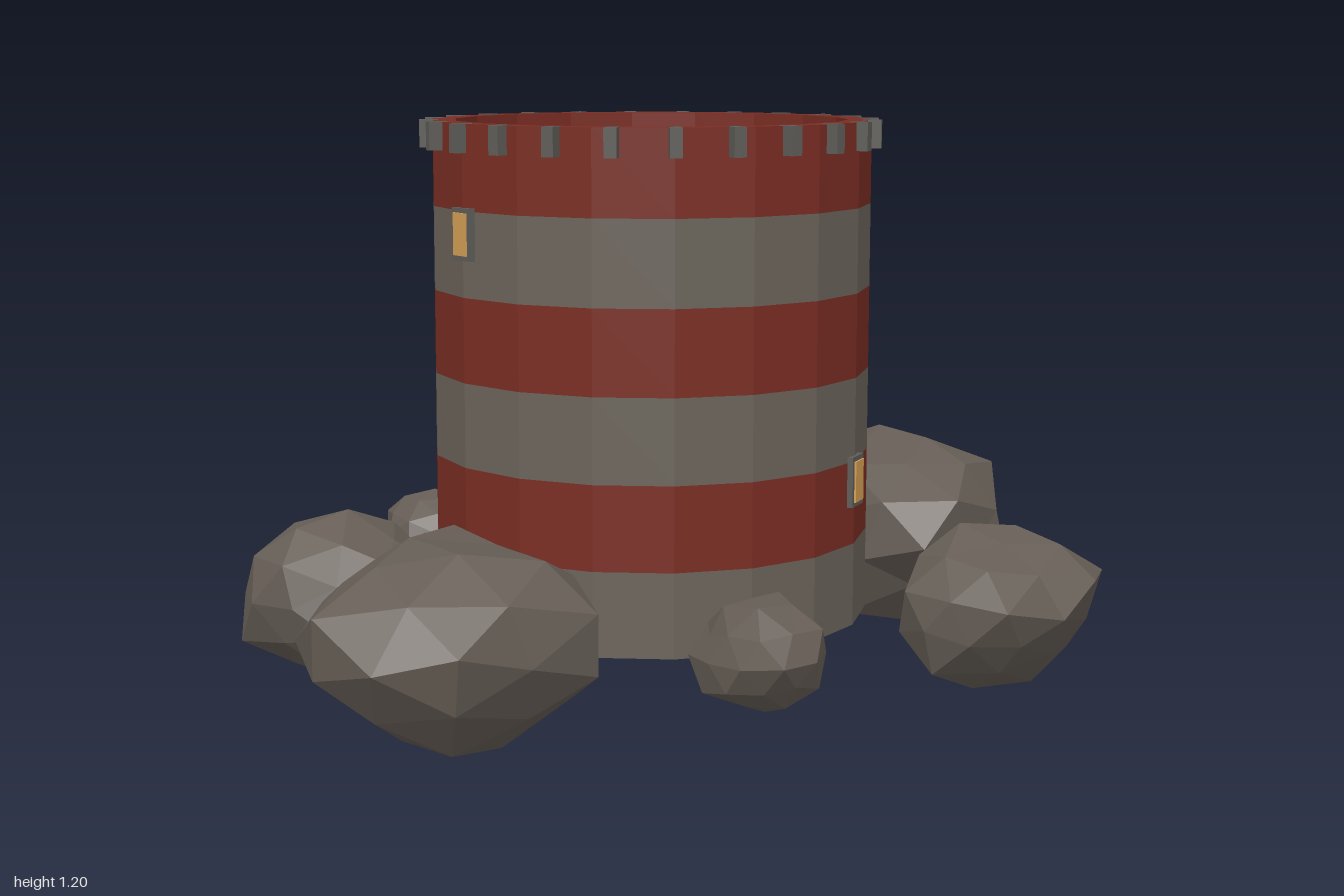
import * as THREE from 'three';
import { mergeVertices } from 'three/addons/utils/BufferGeometryUtils.js';

const mat = (name, color) => Object.assign(new THREE.MeshStandardMaterial({ color }), { name });

const CX = 0.02, CZ = -0.015;           // tower axis
const OUTER = 0.475, INNER = 0.425;     // wall radii
const BASE = 0.13, TOP = 1.2, BANDS = 6;
const STEP = Math.PI / 9;               // 18-sided tower

export function createModel() {
  const model = new THREE.Group();
  model.name = 'roundTower';
  const stone = mat('wallStone', 0x6b645b);
  const red = mat('redPaint', 0x7a2d23);
  const trim = mat('trimStone', 0x5e5d59);
  const rockMat = mat('rock', 0x655d55);
  rockMat.flatShading = true;
  const glass = mat('windowGlow', 0xd6a055);

  const tower = new THREE.Group();
  tower.name = 'tower';
  tower.position.set(CX, 0, CZ);
  model.add(tower);

  const add = (parent, name, geo, material, x = 0, y = 0, z = 0) => {
    const m = new THREE.Mesh(geo, material);
    m.name = name;
    m.position.set(x, y, z);
    parent.add(m);
    return m;
  };
  const box = (parent, name, w, h, d, material, x, y, z) =>
    add(parent, name, new THREE.BoxGeometry(w, h, d), material, x, y, z);

  // Point on the 18-sided outline; angle 0 is the front
  const rim = (r, a) => {
    const k = ((a % STEP) + STEP) % STEP - STEP / 2;
    const q = r * Math.cos(STEP / 2) / Math.cos(k);
    return new THREE.Vector2(q * Math.sin(a), -q * Math.cos(a));
  };

  // Striped wall; the lowest band is open at the doorway
  const bandH = (TOP - BASE) / BANDS;
  const full = Array.from({ length: 18 }, (_, i) => i * STEP);
  const gap = 0.23;
  const open = [gap, ...full.slice(1), Math.PI * 2 - gap];
  for (let i = 0; i < BANDS; i++) {
    let shape;
    if (i === 0) {
      shape = new THREE.Shape([
        ...open.map(a => rim(OUTER, a)),
        ...open.slice().reverse().map(a => rim(INNER, a)),
      ]);
    } else {
      shape = new THREE.Shape(full.map(a => rim(OUTER, a)));
      shape.holes.push(new THREE.Path(full.map(a => rim(INNER, a))));
    }
    const geo = new THREE.ExtrudeGeometry(shape, { depth: bandH, bevelEnabled: false });
    geo.rotateX(-Math.PI / 2);
    add(tower, 'wallBand' + (i + 1), geo, i % 2 ? red : stone, 0, BASE + i * bandH, 0);
  }

  // Small blocks around the rim
  for (let i = 0; i < 24; i++) {
    const a = i * Math.PI / 12;
    const b = box(tower, 'rimBlock', 0.026, 0.06, 0.04, trim,
      0.477 * Math.sin(a), TOP - 0.029, 0.477 * Math.cos(a));
    b.rotation.y = a;
  }

  // Three windows spiralling around the tower
  [[0, 0.975], [2 * Math.PI / 3, 0.445], [-2 * Math.PI / 3, 0.71]].forEach(([a, y]) => {
    const win = new THREE.Group();
    win.name = 'window';
    win.rotation.y = a;
    win.position.y = y;
    tower.add(win);
    box(win, 'windowFrame', 0.068, 0.108, 0.024, trim, 0.003, 0, 0.47);
    box(win, 'windowPane', 0.048, 0.088, 0.006, glass, 0.003, 0, 0.483);
  });

  // Doorway
  const door = new THREE.Group();
  door.name = 'doorway';
  tower.add(door);
  for (const s of [-1, 1]) box(door, 'doorPost', 0.03, 0.175, 0.05, trim, s * 0.113, 0.218, 0.47);
  box(door, 'doorLintel', 0.27, 0.025, 0.05, trim, 0, 0.315, 0.475);
  box(door, 'keystone', 0.022, 0.045, 0.05, trim, 0, 0.328, 0.48);
  box(door, 'doorStep', 0.26, 0.035, 0.145, stone, 0, 0.12, 0.53);

  // Faceted boulder fitted to a box, kept clear of the tower's inside
  const boulder = (seed, x0, x1, y0, y1, z0, z1) => {
    let s = seed * 7919;
    const rand = () => (s = (s * 16807 + 11) % 2147483647) / 2147483647;
    let geo = new THREE.IcosahedronGeometry(1, 1);
    geo.deleteAttribute('uv');
    geo.deleteAttribute('normal');
    geo = mergeVertices(geo, 1e-4);
    geo.rotateX(seed * 1.3).rotateY(seed * 2.1);
    const p = geo.attributes.position, v = new THREE.Vector3();
    for (let i = 0; i < p.count; i++) {
      v.fromBufferAttribute(p, i).multiplyScalar(0.87 + 0.26 * rand());
      p.setXYZ(i, v.x, v.y, v.z);
    }
    geo.computeBoundingBox();
    const b = geo.boundingBox, size = b.getSize(new THREE.Vector3());
    for (let i = 0; i < p.count; i++) {
      v.fromBufferAttribute(p, i).sub(b.min).divide(size);
      let x = x0 + v.x * (x1 - x0) - CX, z = z0 + v.z * (z1 - z0) - CZ;
      const r = Math.hypot(x, z), k = Math.max(1, 0.45 / r);
      p.setXYZ(i, x * k + CX, y0 + v.y * (y1 - y0), z * k + CZ);
    }
    geo = geo.toNonIndexed();
    geo.computeVertexNormals();
    return geo;
  };

  // Boulders around the foot: x, y and z ranges
  const rocks = {
    backLeftBoulder: [-0.74, -0.17, 0, 0.43, -0.75, -0.16],
    backBoulder: [-0.27, 0.3, 0.01, 0.44, -1, -0.46],
    backRightBoulder: [0.41, 0.83, 0.01, 0.355, -0.71, -0.27],
    sideSmallBoulder: [0.49, 0.77, 0.06, 0.29, 0.02, 0.28],
    farSmallBoulder: [-0.84, -0.57, 0.075, 0.28, -0.02, 0.25],
    frontSmallerBoulder: [-0.47, -0.07, 0.01, 0.36, 0.37, 0.81],
    frontLargeBoulder: [0.06, 0.61, 0.02, 0.42, 0.38, 1],
  };
  Object.entries(rocks).forEach(([name, r], i) => add(model, name, boulder(i + 1, ...r), rockMat));

  return model;
}
